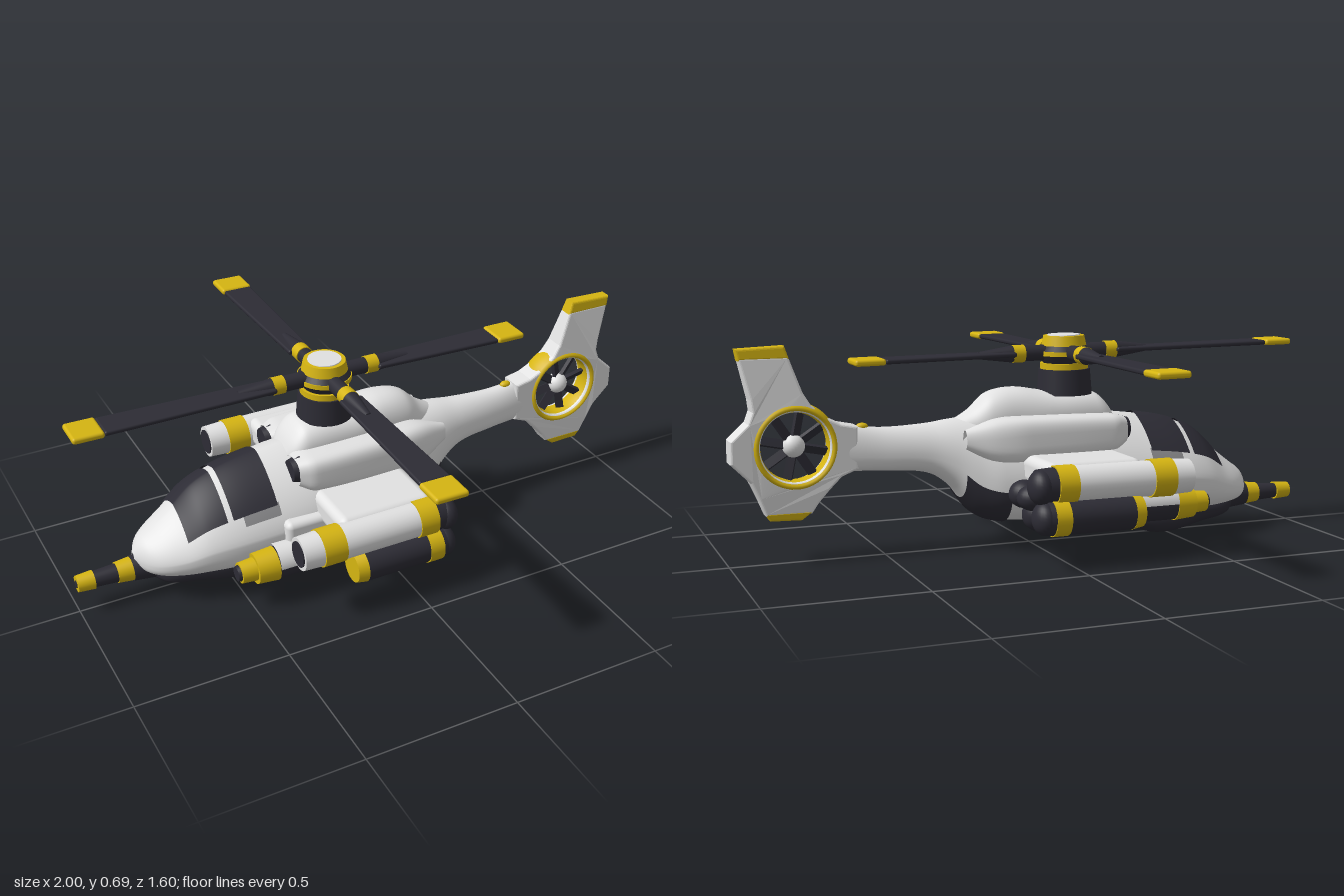
import * as THREE from 'three';
import { mergeVertices } from 'three/addons/utils/BufferGeometryUtils.js';
import { RoundedBoxGeometry } from 'three/addons/geometries/RoundedBoxGeometry.js';

const paint = (name, color) => {
  const m = new THREE.MeshStandardMaterial({ color, side: THREE.DoubleSide });
  m.name = name;
  return m;
};
const white = paint('white', 0xe2e2e2);
const dark = paint('charcoal', 0x2d2c35);
const yellow = paint('yellow', 0xd6b512);
const grey = paint('grey', 0x8a8a8c);

function add(parent, name, geo, mat, x = 0, y = 0, z = 0) {
  const m = new THREE.Mesh(geo, mat);
  m.name = name;
  m.position.set(x, y, z);
  parent.add(m);
  return m;
}

// Smooth interpolation through stations [x, bottom, top, halfWidth, upperExponent]
function station(st, x) {
  let i = 0;
  while (i < st.length - 2 && x > st[i + 1][0]) i++;
  const a = st[i], b = st[i + 1], p = st[i - 1] || a, n = st[i + 2] || b;
  const h = b[0] - a[0], t = (x - a[0]) / h, t2 = t * t, t3 = t2 * t;
  return a.map((v, k) => {
    const m0 = (b[k] - p[k]) / (b[0] - p[0]) * h, m1 = (n[k] - v) / (n[0] - a[0]) * h;
    return (2 * t3 - 3 * t2 + 1) * v + (t3 - 2 * t2 + t) * m0 + (3 * t2 - 2 * t3) * b[k] + (t3 - t2) * m1;
  });
}

// Point on a lofted superellipse hull: angle 0 faces +z, PI/2 is up
function hull(st, x, a, off, zc) {
  const [, b, t, w, n] = station(st, x);
  const s = Math.sin(a), c = Math.cos(a), e = 2 / (s > 0 ? n : 2.6);
  const mid = b + 0.42 * (t - b), h = (s > 0 ? t - mid : mid - b) + off;
  return [x, mid + Math.sign(s) * Math.abs(s) ** e * h, zc + Math.sign(c) * Math.abs(c) ** e * (w + off)];
}

// Grid over part (or all) of a hull
function skin(st, { x0 = st[0][0], x1 = st.at(-1)[0], a0 = -Math.PI / 2, a1 = Math.PI * 1.5, nx = 60, na = 48, off = 0, zc = 0 } = {}) {
  const pos = [], idx = [];
  for (let i = 0; i <= nx; i++)
    for (let j = 0; j <= na; j++)
      pos.push(...hull(st, x0 + (x1 - x0) * i / nx, a0 + (a1 - a0) * j / na, off, zc));
  for (let i = 0; i < nx; i++)
    for (let j = 0; j < na; j++) {
      const p = i * (na + 1) + j, q = p + na + 1;
      idx.push(p, q, q + 1, p, q + 1, p + 1);
    }
  let g = new THREE.BufferGeometry();
  g.setAttribute('position', new THREE.Float32BufferAttribute(pos, 3));
  g.setIndex(idx);
  g = mergeVertices(g, 1e-5);
  g.computeVertexNormals();
  return g;
}

// Row of round sections along x: [x0, x1, r0, r1, material]
function tube(parent, name, y, z, parts) {
  const g = new THREE.Group();
  g.name = name;
  g.position.set(0, y, z);
  parts.forEach(([x0, x1, r0, r1, mat]) =>
    add(g, name + 'Section', new THREE.CylinderGeometry(r0, r1, x1 - x0, 28).rotateZ(Math.PI / 2), mat, (x0 + x1) / 2));
  parent.add(g);
  return g;
}

const ball = (parent, name, mat, x, y, z, rx, ry = rx, rz = rx) =>
  add(parent, name, new THREE.SphereGeometry(1, 24, 16), mat, x, y, z).scale.set(rx, ry, rz);

const BODY = [
  [-0.81, 0.14, 0.17, 0.012, 1.8], [-0.79, 0.115, 0.205, 0.06, 1.8], [-0.75, 0.1, 0.235, 0.105, 1.7],
  [-0.68, 0.09, 0.29, 0.145, 1.5], [-0.6, 0.085, 0.36, 0.175, 1.5], [-0.5, 0.08, 0.4, 0.195, 1.5],
  [-0.36, 0.08, 0.425, 0.205, 1.5], [-0.2, 0.085, 0.44, 0.205, 1.6], [0, 0.09, 0.44, 0.185, 1.8],
  [0.14, 0.1, 0.44, 0.155, 1.9], [0.21, 0.13, 0.44, 0.125, 2], [0.28, 0.215, 0.435, 0.095, 2],
  [0.36, 0.265, 0.425, 0.072, 2], [0.5, 0.28, 0.42, 0.052, 2], [0.6, 0.285, 0.43, 0.042, 2], [0.67, 0.29, 0.44, 0.036, 2]];
const COWL = [[-0.3, 0.38, 0.4, 0.04, 2.4], [-0.27, 0.36, 0.46, 0.08, 2.4], [-0.22, 0.35, 0.505, 0.095, 2.6],
  [-0.05, 0.35, 0.515, 0.1, 2.6], [0.06, 0.35, 0.53, 0.09, 2.4], [0.15, 0.35, 0.515, 0.08, 2.2],
  [0.21, 0.36, 0.465, 0.06, 2], [0.28, 0.37, 0.425, 0.03, 2]];
const NACELLE = [[-0.29, 0.34, 0.43, 0.05, 3], [-0.24, 0.31, 0.44, 0.07, 4], [0.06, 0.29, 0.445, 0.07, 4],
  [0.16, 0.3, 0.44, 0.055, 3], [0.26, 0.35, 0.41, 0.02, 2]];
const CHIN = [[-0.77, 0.085, 0.11, 0.02, 2], [-0.72, 0.05, 0.13, 0.07, 2], [-0.62, 0.03, 0.14, 0.09, 2],
  [-0.5, 0.005, 0.14, 0.1, 2], [-0.41, 0.015, 0.14, 0.09, 2], [-0.36, 0.06, 0.13, 0.07, 2], [-0.26, 0.08, 0.11, 0.02, 2]];

// Flat outline thickened along z, thinner away from the fan centre
function fin(points, hole) {
  const s = new THREE.Shape(points.map(p => new THREE.Vector2(...p)));
  if (hole) s.holes.push(new THREE.Path().absarc(0.79, 0.375, 0.118, 0, Math.PI * 2, true));
  const g = new THREE.ExtrudeGeometry(s, { depth: 0.06, bevelSize: 0.008, bevelThickness: 0.01, bevelSegments: 3, curveSegments: 32 });
  g.translate(0, 0, -0.03);
  const p = g.attributes.position;
  for (let i = 0; i < p.count; i++) {
    const d = Math.max(0, Math.abs(p.getY(i) - 0.375) - 0.13);
    p.setZ(i, p.getZ(i) * Math.max(0.5, 1 - d * 2.6));
  }
  g.computeVertexNormals();
  return g;
}

function buildTail(root) {
  const tail = new THREE.Group();
  tail.name = 'tail';
  root.add(tail);
  add(tail, 'tailFin', fin([[0.6, 0.3], [0.65, 0.28], [0.69, 0.24], [0.725, 0.2], [0.745, 0.17], [0.88, 0.17], [0.9, 0.22],
    [0.925, 0.275], [0.985, 0.335], [0.985, 0.4], [0.93, 0.45], [0.915, 0.49], [0.92, 0.53], [0.95, 0.65], [0.81, 0.65],
    [0.77, 0.54], [0.745, 0.5], [0.7, 0.46], [0.65, 0.435], [0.6, 0.425]], true), white);
  add(tail, 'upperFinTip', fin([[0.81, 0.655], [0.952, 0.655], [0.957, 0.677], [0.82, 0.682]]), yellow);
  add(tail, 'lowerFinTip', fin([[0.748, 0.166], [0.878, 0.166], [0.868, 0.153], [0.775, 0.15]]), yellow);
  add(tail, 'fanRing', new THREE.TorusGeometry(0.123, 0.017, 14, 48), yellow, 0.79, 0.375).scale.z = 2.7;
  ball(tail, 'fanHub', white, 0.79, 0.375, 0, 0.036, 0.036, 0.035);
  for (let i = 0; i < 8; i++) {
    const g = new THREE.BoxGeometry(0.085, 0.028, 0.012).rotateX(0.5).translate(0.07, 0, 0).rotateZ(i * Math.PI / 4 + 0.2);
    add(tail, 'fanBlade', g, dark, 0.79, 0.375);
  }
  ball(tail, 'boomLight', yellow, 0.57, 0.425, 0, 0.02, 0.012, 0.014);
}

function buildRotor(root) {
  const rotor = new THREE.Group();
  rotor.name = 'mainRotor';
  rotor.position.set(-0.125, 0.64, 0);
  rotor.rotation.z = -0.014;
  root.add(rotor);
  // Stacked hub rings: [y0, y1, rBottom, rTop, material]
  [[-0.14, -0.055, 0.092, 0.086, dark], [-0.055, -0.035, 0.08, 0.08, yellow], [-0.035, -0.01, 0.07, 0.085, dark],
    [-0.01, 0.005, 0.088, 0.088, yellow], [0.005, 0.022, 0.085, 0.07, dark], [0.022, 0.055, 0.075, 0.068, yellow],
    [0.05, 0.058, 0.056, 0.054, white]].forEach(([y0, y1, r0, r1, m]) =>
    add(rotor, 'hubRing', new THREE.CylinderGeometry(r1, r0, y1 - y0, 32), m, 0, (y0 + y1) / 2));
  [0.725, 0.8, 0.845, 0.8].forEach((len, i) => {
    const arm = tube(rotor, 'rotorBlade', 0, 0, [[0.06, 0.145, 0.026, 0.026, dark], [0.145, 0.185, 0.029, 0.029, yellow], [0.185, 0.3, 0.028, 0.012, dark]]);
    arm.rotation.y = i * Math.PI / 2;
    const tip = len - 0.1;
    const g = new RoundedBoxGeometry(tip - 0.18, 0.016, 0.1, 3, 0.007), p = g.attributes.position;
    g.translate((tip + 0.18) / 2, 0, 0);
    for (let k = 0; k < p.count; k++) if (p.getX(k) < 0.3) p.setZ(k, p.getZ(k) * 0.78);
    add(arm, 'bladePanel', g, dark);
    add(arm, 'bladeTip', new RoundedBoxGeometry(0.1, 0.021, 0.108, 3, 0.009), yellow, len - 0.05);
  });
}

function buildSide(root, s) {
  const side = new THREE.Group();
  side.name = s > 0 ? 'leftSide' : 'rightSide';
  root.add(side);
  // Engine nacelle with intake and cabin side glass
  add(side, 'engineNacelle', skin(NACELLE, { zc: s * 0.105, nx: 40, na: 40 }), white);
  tube(side, 'engineIntake', 0.39, s * 0.11, [[-0.305, -0.27, 0.036, 0.045, dark]]);
  const lo = s > 0 ? 0.43 : Math.PI - 0.62;
  add(side, 'sideVent', skin(BODY, { x0: -0.49, x1: -0.37, a0: lo, a1: lo + 0.19, nx: 10, na: 6, off: 0.006 }), grey);
  // Stub wing and weapon pods
  add(side, 'stubWing', new RoundedBoxGeometry(0.33, 0.095, 0.25, 4, 0.03), white, -0.085, 0.28, s * 0.24);
  tube(side, 'upperPod', 0.265, s * 0.37, [[-0.404, -0.39, 0.042, 0.042, dark], [-0.4, -0.33, 0.054, 0.057, white],
    [-0.335, -0.26, 0.061, 0.061, yellow], [-0.26, 0, 0.057, 0.057, white], [0, 0.065, 0.061, 0.061, yellow], [0.065, 0.12, 0.056, 0.052, dark]]);
  tube(side, 'lowerPod', 0.165, s * 0.385, [[-0.225, -0.19, 0.05, 0.056, yellow], [-0.19, 0.03, 0.055, 0.055, dark],
    [0.03, 0.08, 0.058, 0.058, yellow], [0.08, 0.11, 0.055, 0.05, dark]]);
  ball(side, 'podTail', dark, 0.11, 0.262, s * 0.375, 0.04, 0.055, 0.055);
  ball(side, 'podTail', dark, 0.1, 0.165, s * 0.385, 0.04, 0.053, 0.053);
  add(side, 'podLink', new THREE.BoxGeometry(0.3, 0.08, 0.04), dark, -0.06, 0.215, s * 0.375);
  // Wing exhaust lumps
  ball(side, 'exhaust', dark, 0.1, 0.215, s * 0.295, 0.055, 0.042, 0.05);
  ball(side, 'exhaust', dark, 0.105, 0.215, s * 0.225, 0.05, 0.045, 0.05);
  // Inner missile with pylon and pale upper shell
  tube(side, 'missile', 0.145, s * 0.225, [[-0.55, -0.535, 0.024, 0.028, dark], [-0.54, -0.49, 0.034, 0.038, yellow],
    [-0.49, -0.42, 0.05, 0.056, yellow], [-0.42, 0.06, 0.053, 0.053, dark]]);
  ball(side, 'missileTail', dark, 0.06, 0.145, s * 0.225, 0.05, 0.053, 0.053);
  const shell = new THREE.CylinderGeometry(0.057, 0.057, 0.17, 24, 1, true, 0, Math.PI);
  add(side, 'missileShell', shell.rotateZ(Math.PI / 2), white, -0.335, 0.152, s * 0.225);
  add(side, 'missilePylon', new RoundedBoxGeometry(0.36, 0.1, 0.06, 3, 0.02), white, -0.19, 0.22, s * 0.2);
}

export function createModel() {
  const root = new THREE.Group();
  root.name = 'helicopter';
  add(root, 'fuselage', skin(BODY, { nx: 120, na: 56 }), white);
  add(root, 'engineCowl', skin(COWL), white);
  // Wraparound canopy in two panes
  [[-0.665, -0.54], [-0.522, -0.375]].forEach(([x0, x1]) =>
    add(root, 'canopyPane', skin(BODY, { x0, x1, a0: 0.58, a1: Math.PI - 0.58, nx: 16, na: 32, off: 0.007 }), dark));
  // Dark rear belly, chin turret and nose gun
  add(root, 'rearBelly', skin(BODY, { x0: 0.12, x1: 0.255, a0: -Math.PI + 0.15, a1: -0.15, nx: 14, na: 30, off: 0.007 }), dark);
  add(root, 'chinTurret', skin(CHIN, { nx: 40, na: 36 }), dark);
  tube(root, 'noseGun', 0.112, 0, [[-1, -0.945, 0.027, 0.031, yellow], [-1.003, -0.99, 0.012, 0.012, dark],
    [-0.945, -0.865, 0.026, 0.031, dark], [-0.87, -0.82, 0.034, 0.039, yellow], [-0.82, -0.74, 0.041, 0.05, dark]]);
  [1, -1].forEach(s => buildSide(root, s));
  buildTail(root);
  buildRotor(root);
  return root;
}
